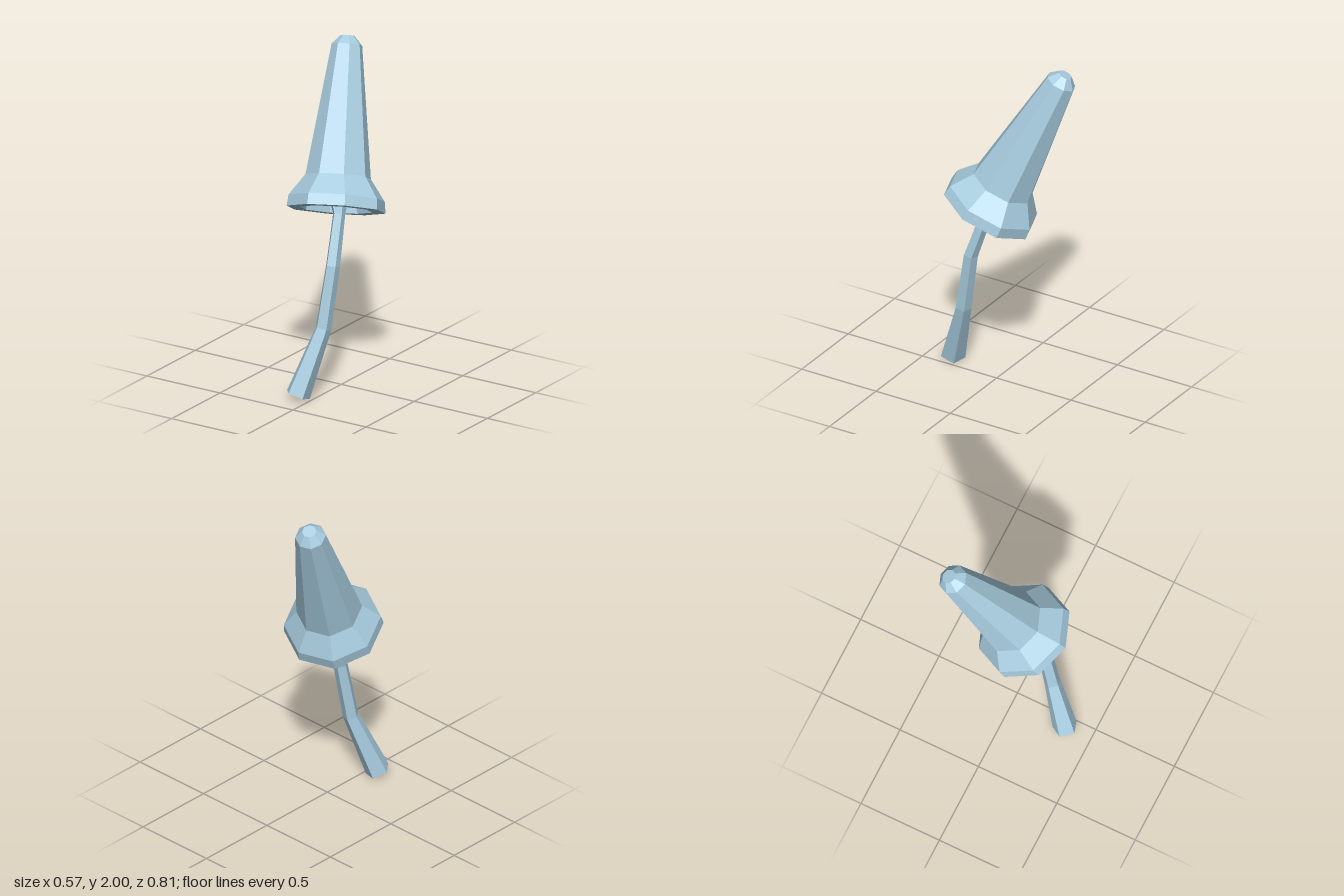
import * as THREE from 'three';

const V = (x, y, z) => new THREE.Vector3(x, y, z);

// Faceted copy of a geometry
function faceted(geometry) {
  const g = geometry.index ? geometry.toNonIndexed() : geometry;
  g.computeVertexNormals();
  return g;
}

// Skin a chain of [centre, radius] sections with a closed start
function loft(sections, sides, ref) {
  const rings = sections.map(([c, r], i) => {
    const prev = sections[Math.max(i - 1, 0)][0];
    const next = sections[Math.min(i + 1, sections.length - 1)][0];
    const t = next.clone().sub(prev).normalize();
    const u = ref.clone().addScaledVector(t, -ref.dot(t)).normalize();
    const w = t.clone().cross(u);
    return Array.from({ length: sides }, (_, k) => {
      const a = (k / sides) * Math.PI * 2;
      return c.clone().addScaledVector(u, r * Math.cos(a)).addScaledVector(w, r * Math.sin(a));
    });
  });
  const pts = [];
  for (let k = 0; k < sides; k++) {
    const n = (k + 1) % sides;
    pts.push(sections[0][0], rings[0][n], rings[0][k]);
    for (let i = 0; i + 1 < rings.length; i++) {
      const a = rings[i], b = rings[i + 1];
      pts.push(a[k], a[n], b[n], a[k], b[n], b[k]);
    }
  }
  return faceted(new THREE.BufferGeometry().setFromPoints(pts));
}

export function createModel() {
  const model = new THREE.Group();
  model.name = 'mushroom';
  const paleBlue = new THREE.MeshStandardMaterial({ color: 0xa8cde0, flatShading: true });
  paleBlue.name = 'paleBlue';

  const add = (parent, name, geometry) => {
    const mesh = new THREE.Mesh(geometry, paleBlue);
    mesh.name = name;
    parent.add(mesh);
  };
  const lathe = (profile) =>
    faceted(new THREE.LatheGeometry(profile.map(([r, y]) => new THREE.Vector2(r, y)), 8));

  // Bent five-sided stem, flared at both ends
  add(model, 'stem', loft([
    [V(-0.073, 0.054, 0.341), 0.074],
    [V(0.017, 0.44, 0.213), 0.048],
    [V(0.04, 0.806, 0.15), 0.043],
    [V(0.02, 1.09, 0.055), 0.037],
    [V(-0.014, 1.2, 0.012), 0.068],
  ], 5, V(-0.9, 0.42, -0.08)));

  // Leaning eight-sided cap, built upright and tilted about its rim
  const cap = new THREE.Group();
  cap.name = 'cap';
  const up = V(-0.185, 0.89, -0.397).normalize();
  const side = V(up.y, -up.x, 0).normalize();
  cap.quaternion.setFromRotationMatrix(
    new THREE.Matrix4().makeBasis(side, up, side.clone().cross(up)));
  cap.position.set(0, 1.11, 0.055);
  add(cap, 'capShell', lathe([
    [0.287, 0], [0.28, 0.065], [0.19, 0.19], [0.089, 0.948], [0.042, 1], [0, 1],
  ]));
  // Flat lip and recessed underside
  add(cap, 'capUnderside', lathe([[0, 0.08], [0.195, 0.08], [0.212, 0], [0.287, 0]]));
  model.add(cap);

  return model;
}
